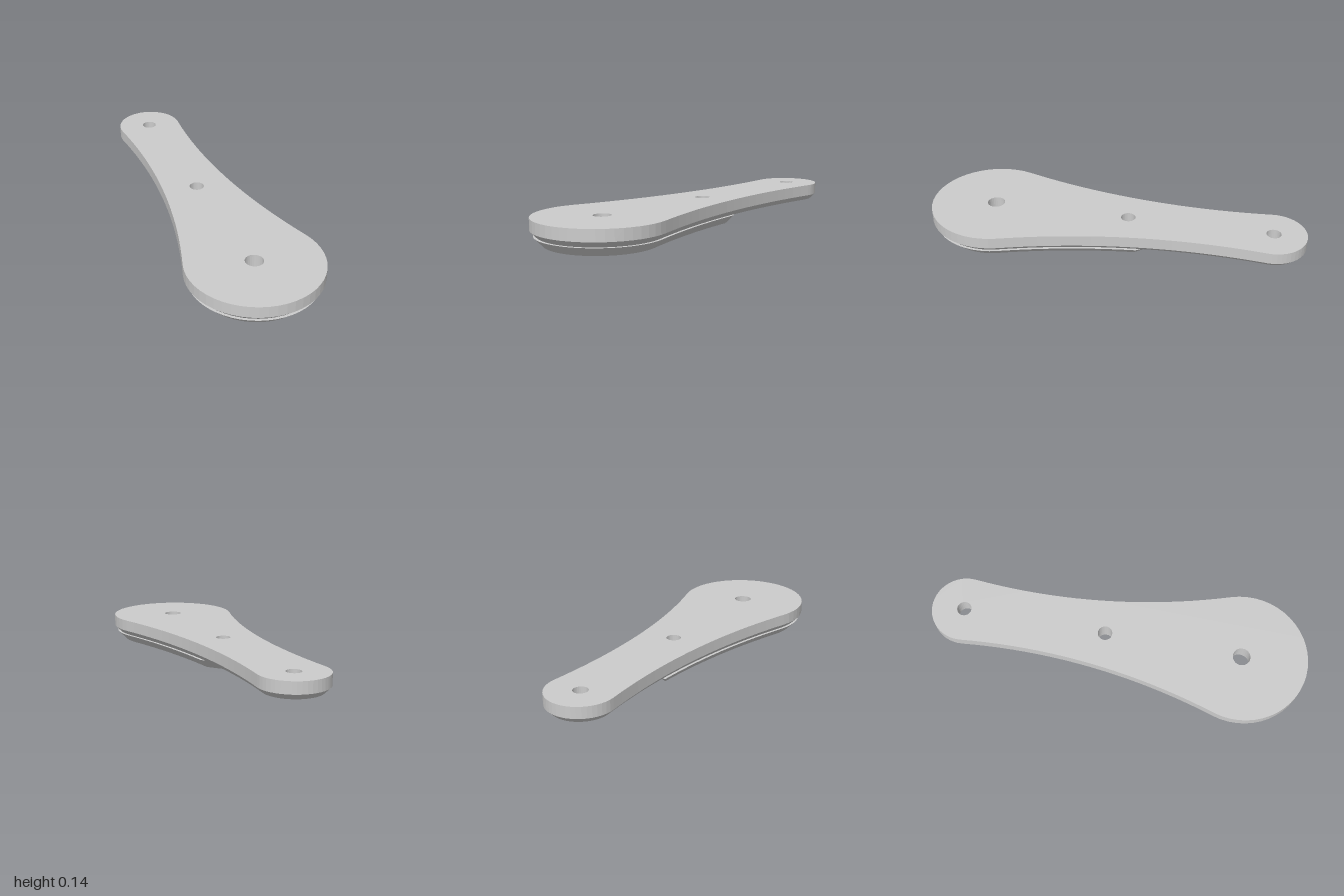
import * as THREE from 'three';

// Plan coordinates are (x, v) with v = -z. Two end circles joined by tangent concave flanks.
const BIG = { v: -0.66, r: 0.34 };
const SMALL = { v: 0.825, r: 0.175 };
const FLANK_R = 3.36;
const L = SMALL.v - BIG.v;
const D1 = FLANK_R + BIG.r, D2 = FLANK_R + SMALL.r;
const T = (D1 * D1 - D2 * D2 + L * L) / (2 * L);
const FLANK = { x: Math.sqrt(D1 * D1 - T * T), v: BIG.v + T };
const A1 = Math.atan2(FLANK.v - BIG.v, FLANK.x);
const A2 = Math.atan2(FLANK.v - SMALL.v, FLANK.x);
// Slanted arc that ends the lower pad
const END = { x: -0.276, v: -0.145, r: 0.52 };

// n points along an arc, last one left to the next arc
function arc(cx, cy, r, a, b, n) {
  const pts = [];
  for (let i = 0; i < n; i++) {
    const t = a + ((b - a) * i) / n;
    pts.push(new THREE.Vector2(cx + r * Math.cos(t), cy + r * Math.sin(t)));
  }
  return pts;
}

// Full outline, inset by d
function fullOutline(d) {
  const R = FLANK_R + d;
  return [
    ...arc(0, BIG.v, BIG.r - d, Math.PI - A1, 2 * Math.PI + A1, 30),
    ...arc(FLANK.x, FLANK.v, R, Math.PI + A1, Math.PI + A2, 20),
    ...arc(0, SMALL.v, SMALL.r - d, A2, Math.PI - A2, 24),
    ...arc(-FLANK.x, FLANK.v, R, -A2, -A1, 20),
  ];
}

// Wide half only, inset by d and cut by the end arc, itself inset by e
function padOutline(d, e) {
  const R = FLANK_R + d, r = END.r - e;
  const meet = (side) => {
    let v = 0.25, x = 0;
    for (let i = 0; i < 40; i++) {
      x = side * (FLANK.x - Math.sqrt(R * R - (v - FLANK.v) ** 2));
      v = END.v + Math.sqrt(r * r - (x - END.x) ** 2);
    }
    return { flank: Math.asin((FLANK.v - v) / R), end: Math.atan2(v - END.v, x - END.x) };
  };
  const right = meet(1), left = meet(-1);
  return [
    ...arc(0, BIG.v, BIG.r - d, Math.PI - A1, 2 * Math.PI + A1, 30),
    ...arc(FLANK.x, FLANK.v, R, Math.PI + A1, Math.PI + right.flank, 14),
    ...arc(END.x, END.v, r, right.end, left.end, 16),
    ...arc(-FLANK.x, FLANK.v, R, -left.flank, -A1, 14),
  ];
}

// Solid from stacked outlines [{ y, pts }] with round holes [v, radius] through it
function plate(name, levels, holes) {
  const pos = [];
  const put = (p, y) => pos.push(p.x, y, -p.y);
  const wall = (a, ya, b, yb) => {
    for (let i = 0; i < a.length; i++) {
      const j = (i + 1) % a.length;
      put(a[i], ya); put(a[j], ya); put(b[j], yb);
      put(a[i], ya); put(b[j], yb); put(b[i], yb);
    }
  };
  const rings = holes.map(([v, r]) => arc(0, v, r, 2 * Math.PI, 0, 28));
  const bottom = levels[0], top = levels[levels.length - 1];

  // Sides and hole walls
  for (let i = 1; i < levels.length; i++) {
    wall(levels[i - 1].pts, levels[i - 1].y, levels[i].pts, levels[i].y);
  }
  rings.forEach((ring) => wall(ring, bottom.y, ring, top.y));

  // Flat faces
  for (const level of [bottom, top]) {
    const all = [level.pts, ...rings].flat();
    for (const f of THREE.ShapeUtils.triangulateShape(level.pts, rings)) {
      const order = level === top ? f : [f[0], f[2], f[1]];
      order.forEach((k) => put(all[k], level.y));
    }
  }

  const geometry = new THREE.BufferGeometry();
  geometry.setAttribute('position', new THREE.Float32BufferAttribute(pos, 3));
  geometry.computeVertexNormals();
  const mesh = new THREE.Mesh(geometry, new THREE.MeshStandardMaterial({ color: 0xcccccc, flatShading: true }));
  mesh.name = name;
  return mesh;
}

export function createModel() {
  const group = new THREE.Group();
  group.name = 'leverPlate';

  // Long arm with straight rim and chamfered underside
  group.add(plate('upperArm', [
    { y: 0.046, pts: fullOutline(0.029) },
    { y: 0.075, pts: fullOutline(0) },
    { y: 0.135, pts: fullOutline(0) },
  ], [[-0.655, 0.046], [0.068, 0.038], [0.828, 0.038]]));

  // Bevelled pad under the wide end
  group.add(plate('lowerPad', [
    { y: 0, pts: padOutline(0.06, 0.045) },
    { y: 0.045, pts: padOutline(0.016, 0) },
  ], [[-0.655, 0.06], [0.068, 0.042]]));

  return group;
}
